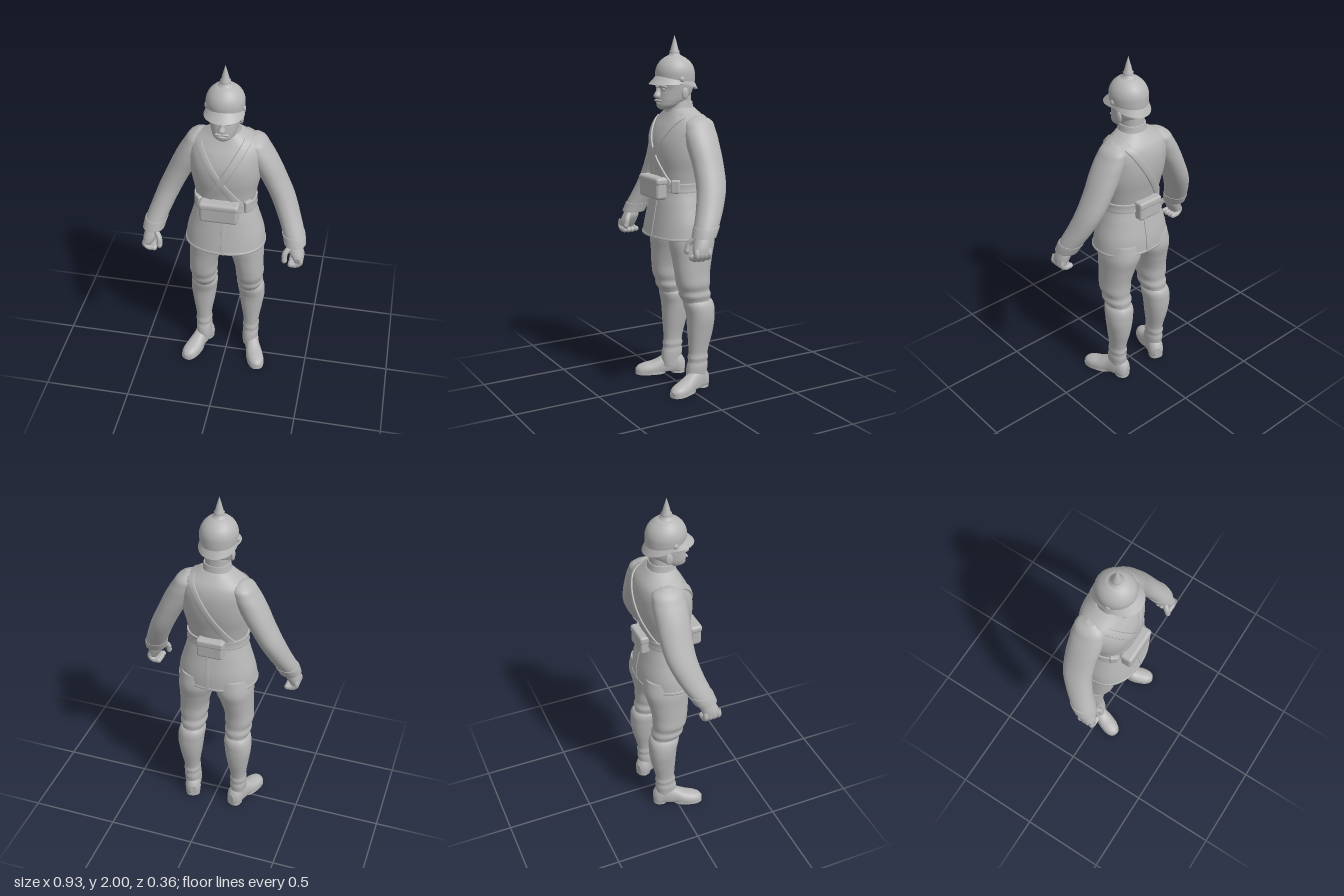
import * as THREE from 'three';
import { RoundedBoxGeometry } from 'three/addons/geometries/RoundedBoxGeometry.js';

const grey = new THREE.MeshStandardMaterial({ color: 0xb6b6b6, side: THREE.DoubleSide });
grey.name = 'plain grey';

// smooth section lookup; each row is [y, xMin, xMax, zFront, zBack]
function sections(rows) {
  const sorted = [...rows].sort((a, b) => a[0] - b[0]);
  const ys = sorted.map(r => r[0]);
  const spline = new THREE.CubicInterpolant(ys, sorted.flatMap(r => r.slice(1)), 4);
  return { y0: ys[0], y1: ys[ys.length - 1], at: y => Array.from(spline.evaluate(y)) };
}

// grid of points joined into a surface, optionally closed around
function grid(rows, closed) {
  const n = rows[0].length, index = [];
  for (let i = 0; i < rows.length - 1; i++) {
    for (let j = 0; j < (closed ? n : n - 1); j++) {
      const k = (j + 1) % n, a = i * n + j, b = i * n + k;
      index.push(a, a + n, b, b, a + n, b + n);
    }
  }
  const g = new THREE.BufferGeometry();
  g.setAttribute('position', new THREE.Float32BufferAttribute(rows.flat(2), 3));
  g.setIndex(index);
  g.computeVertexNormals();
  return g;
}

// closed body through horizontal superellipse rings, with flat ends
function loft(rows, { n = 2.2, steps = 40, around = 40, grow = 0, from, to } = {}) {
  const s = rows.at ? (Array.isArray(rows) ? sections(rows) : rows) : sections(rows);
  const lo = from ?? s.y0, hi = to ?? s.y1, rings = [];
  const ring = (y, k) => {
    const [x0, x1, zf, zb] = s.at(y);
    return Array.from({ length: around }, (_, j) => {
      const t = j / around * Math.PI * 2, c = Math.cos(t), d = Math.sin(t);
      const e = v => Math.sign(v) * Math.abs(v) ** (2 / n) * k;
      return [(x0 + x1) / 2 + ((x1 - x0) / 2 + grow) * e(c), y, (zf + zb) / 2 + ((zf - zb) / 2 + grow) * e(d)];
    });
  };
  rings.push(ring(lo, 0), ring(lo, 0.98));
  for (let i = 0; i <= steps; i++) rings.push(ring(lo + (hi - lo) * i / steps, 1));
  rings.push(ring(hi, 0.98), ring(hi, 0));
  return grid(rings, true);
}

function mirrored(geo) {
  const g = geo.clone().scale(-1, 1, 1);
  if (g.index) g.index.array.reverse();
  else for (const a of Object.values(g.attributes)) {
    const s = a.itemSize;
    for (let i = 0; i < a.count; i += 3) for (let k = 0; k < s; k++) {
      const p = i * s + k, q = (i + 2) * s + k, v = a.array[p];
      a.array[p] = a.array[q]; a.array[q] = v;
    }
  }
  g.computeVertexNormals();
  return g;
}

const tube = (pts, r) => new THREE.TubeGeometry(
  new THREE.CatmullRomCurve3(pts.map(p => new THREE.Vector3(...p))), 14, r, 10);
const ball = (x, y, z, a, b, c) => new THREE.SphereGeometry(1, 20, 14).scale(a, b, c).translate(x, y, z);
const box = (w, h, d, r) => new RoundedBoxGeometry(w, h, d, 4, r);

const coatSections = sections([
  [0.89, -0.228, 0.228, 0.172, -0.175], [0.97, -0.218, 0.218, 0.158, -0.17], [1.08, -0.187, 0.187, 0.138, -0.148],
  [1.17, -0.165, 0.165, 0.12, -0.13], [1.25, -0.175, 0.175, 0.125, -0.143], [1.35, -0.195, 0.195, 0.137, -0.165],
  [1.43, -0.2, 0.2, 0.132, -0.173], [1.5, -0.2, 0.2, 0.105, -0.167], [1.545, -0.18, 0.18, 0.078, -0.15],
  [1.58, -0.12, 0.12, 0.06, -0.122], [1.605, -0.082, 0.082, 0.05, -0.1]]);

// flat band lying on the coat between two (x, y) points; side is 1 front, -1 back
function band(a, b, width, side, lift = 0.009) {
  const dx = b[0] - a[0], dy = b[1] - a[1], len = Math.hypot(dx, dy), n = 2.2;
  const rows = [];
  for (let i = 0; i <= 30; i++) {
    rows.push([[-1, -0.015], [-1, lift * 0.6], [-0.85, lift], [0, lift], [0.85, lift], [1, lift * 0.6], [1, -0.015]].map(([u, h]) => {
      const x = a[0] + dx * i / 30 - dy / len * u * width / 2;
      const y = a[1] + dy * i / 30 + dx / len * u * width / 2;
      const [, rx, zf, zb] = coatSections.at(y);
      const bulge = Math.max(0, 1 - Math.abs(x / rx) ** n) ** (1 / n);
      return [x, y, (zf + zb) / 2 + side * ((zf - zb) / 2 * bulge + h)];
    }));
  }
  const g = grid(rows, false);
  if ((dy > 0) === (side > 0)) { g.index.array.reverse(); g.computeVertexNormals(); }
  return g;
}

export function createModel() {
  const model = new THREE.Group();
  model.name = 'soldier';
  const add = (name, geo) => {
    const m = new THREE.Mesh(geo, grey);
    m.name = name;
    model.add(m);
  };
  const pair = (name, geo) => {
    add('left' + name, geo);
    add('right' + name, mirrored(geo));
  };

  // coat, collar, belt and straps
  add('coat', loft(coatSections, { steps: 60, around: 56 }));
  add('hem', loft(coatSections, { from: 0.89, to: 0.902, grow: 0.003, steps: 3, around: 56 }));
  add('collar', loft([[1.58, -0.085, 0.085, 0.06, -0.1], [1.61, -0.077, 0.077, 0.055, -0.095], [1.64, -0.072, 0.072, 0.05, -0.09]]));
  add('belt', loft(coatSections, { from: 1.15, to: 1.2, grow: 0.01, steps: 6, around: 56 }));
  add('frontStrapA', band([0.125, 1.57], [-0.1, 1.19], 0.042, 1));
  add('frontStrapB', band([-0.14, 1.545], [0.1, 1.19], 0.042, 1));
  add('backStrap', band([0.125, 1.57], [-0.11, 1.19], 0.042, -1));
  add('frontFlap', band([0.012, 0.892], [0.012, 1.14], 0.024, 1, 0.004));
  add('backPleat', band([0.012, 0.892], [0.012, 1.1], 0.024, -1, 0.004));

  // pouches
  add('frontPouch', box(0.215, 0.115, 0.07, 0.02).translate(-0.01, 1.165, 0.142));
  add('frontPouchLid', box(0.222, 0.045, 0.076, 0.018).translate(-0.01, 1.21, 0.141));
  add('backPouch', box(0.15, 0.105, 0.06, 0.015).translate(-0.005, 1.158, -0.145));
  add('backPouchLid', box(0.156, 0.045, 0.066, 0.014).translate(-0.005, 1.195, -0.145));
  pair('BeltLoop', box(0.05, 0.075, 0.03, 0.01).rotateY(0.9).translate(0.138, 1.185, 0.082));

  // arms and hands
  const arm = sections([[1.567, 0.13, 0.165, -0.03, -0.075], [1.55, 0.1, 0.2, 0.015, -0.12], [1.5, 0.1, 0.237, 0.04, -0.14],
    [1.42, 0.13, 0.284, 0.045, -0.142], [1.31, 0.192, 0.334, 0.04, -0.137], [1.2, 0.248, 0.383, 0.047, -0.12],
    [1.1, 0.294, 0.42, 0.073, -0.08], [1.0, 0.335, 0.455, 0.11, -0.025], [0.955, 0.348, 0.463, 0.125, 0]]);
  pair('Sleeve', loft(arm, { n: 2.1 }));
  pair('Cuff', loft(arm, { n: 2.1, from: 0.955, to: 1.01, grow: 0.004, steps: 6 }));
  pair('Palm', loft([[0.97, 0.372, 0.44, 0.105, 0.03], [0.93, 0.37, 0.455, 0.125, 0.032], [0.89, 0.39, 0.462, 0.138, 0.04],
    [0.86, 0.41, 0.458, 0.135, 0.05], [0.845, 0.42, 0.445, 0.12, 0.065]], { steps: 16, around: 24 }));
  for (let i = 0; i < 4; i++) {
    const z = 0.054 + i * 0.025, y = 0.003 * Math.abs(i - 1.5);
    pair('Finger' + (i + 1), tube([[0.438, 0.9, z], [0.447, 0.868, z], [0.425, 0.843 + y, z], [0.393, 0.842 + y, z]], 0.016));
    pair('Fingertip' + (i + 1), ball(0.393, 0.842 + y, z, 0.016, 0.016, 0.016));
  }
  pair('Thumb', tube([[0.385, 0.95, 0.1], [0.36, 0.918, 0.127], [0.358, 0.88, 0.138]], 0.016));
  pair('ThumbTip', ball(0.358, 0.88, 0.138, 0.016, 0.02, 0.016));

  // trousers tucked into tall boots
  pair('Trouser', loft([[0.95, 0, 0.2, 0.09, -0.16], [0.86, 0.002, 0.216, 0.096, -0.17], [0.78, 0.028, 0.216, 0.086, -0.15],
    [0.68, 0.055, 0.217, 0.076, -0.13], [0.62, 0.058, 0.219, 0.066, -0.128], [0.585, 0.066, 0.208, 0.052, -0.127],
    [0.56, 0.06, 0.214, 0.05, -0.136], [0.53, 0.07, 0.203, 0.032, -0.134], [0.5, 0.075, 0.205, 0.015, -0.14]]));
  pair('BootShaft', loft([[0.525, 0.075, 0.205, 0.022, -0.14], [0.515, 0.068, 0.212, 0.024, -0.148], [0.44, 0.07, 0.223, 0.007, -0.156],
    [0.34, 0.083, 0.211, 0.001, -0.146], [0.24, 0.1, 0.195, -0.004, -0.122], [0.205, 0.102, 0.192, -0.004, -0.116],
    [0.185, 0.098, 0.196, 0.002, -0.121], [0.165, 0.103, 0.19, -0.002, -0.115], [0.145, 0.099, 0.194, 0.005, -0.119],
    [0.1, 0.099, 0.192, 0.012, -0.114], [0.05, 0.1, 0.19, 0.01, -0.112]]));

  // feet turned outwards, with sole and heel
  const place = g => g.rotateY(0.36).translate(0.147, 0, -0.06);
  const foot = loft([[-0.072, -0.02, 0.02, -0.01, -0.075], [-0.058, -0.038, 0.038, 0.02, -0.1], [0, -0.046, 0.046, 0.02, -0.135],
    [0.06, -0.043, 0.043, 0.02, -0.105], [0.12, -0.05, 0.05, 0.02, -0.075], [0.18, -0.046, 0.046, 0.02, -0.06],
    [0.212, -0.03, 0.03, 0.012, -0.046], [0.224, -0.01, 0.01, -0.015, -0.032]]).rotateX(Math.PI / 2);
  const p = foot.attributes.position;
  for (let i = 0; i < p.count; i++) p.setY(i, Math.max(0.014, p.getY(i)));
  foot.computeVertexNormals();
  pair('Foot', place(foot));
  const slab = (w, zf, zb) => place(loft([[0, -w, w, zf, zb], [0.018, -w, w, zf, zb]], { n: 2.5, steps: 1 }));
  pair('Sole', slab(0.05, 0.226, 0.045));
  pair('Heel', slab(0.042, 0.01, -0.072));

  // neck, head and face
  add('neck', loft([[1.58, -0.066, 0.066, 0.045, -0.085], [1.7, -0.064, 0.064, 0.045, -0.085]], { steps: 2 }));
  add('head', loft([[1.598, -0.025, 0.025, 0.1, 0.04], [1.612, -0.05, 0.05, 0.113, 0.005], [1.64, -0.069, 0.069, 0.114, -0.045],
    [1.68, -0.08, 0.08, 0.11, -0.083], [1.71, -0.085, 0.085, 0.106, -0.093], [1.74, -0.088, 0.088, 0.113, -0.096],
    [1.78, -0.09, 0.09, 0.11, -0.1]]));
  add('nose', loft([[1.656, -0.014, 0.014, 0.12, 0.09], [1.666, -0.021, 0.021, 0.137, 0.09], [1.7, -0.011, 0.011, 0.126, 0.09],
    [1.73, -0.01, 0.01, 0.117, 0.09]], { steps: 14, around: 16 }));
  add('lowerLip', ball(0, 1.631, 0.112, 0.022, 0.006, 0.008));
  pair('Moustache', ball(0.017, 1.646, 0.113, 0.023, 0.007, 0.009));
  pair('Eye', ball(0.034, 1.708, 0.097, 0.014, 0.008, 0.008));
  pair('Brow', tube([[0.008, 1.722, 0.113], [0.035, 1.728, 0.107], [0.06, 1.72, 0.088]], 0.007));
  pair('Ear', ball(0.084, 1.685, -0.01, 0.01, 0.033, 0.021));

  // helmet dome, flared brim and spike
  add('helmetDome', loft([[1.735, -0.098, 0.098, 0.112, -0.104], [1.77, -0.103, 0.103, 0.117, -0.105], [1.81, -0.102, 0.102, 0.116, -0.102],
    [1.845, -0.088, 0.088, 0.102, -0.086], [1.87, -0.066, 0.066, 0.079, -0.06], [1.885, -0.042, 0.042, 0.054, -0.034],
    [1.893, -0.01, 0.01, 0.02, 0]], { n: 2 }));
  const brim = [];
  for (const u of [1, 0.5, 0]) {
    brim.push(Array.from({ length: 64 }, (_, j) => {
      const t = j / 64 * Math.PI * 2, s = Math.sin(t);
      const front = Math.max(0, s) ** 1.3, back = Math.max(0, -s) ** 1.3;
      const out = u * (0.003 + 0.042 * front + 0.017 * back);
      const y = 1.755 + 0.028 * front - 0.01 * back - u * (0.018 + 0.03 * front + 0.026 * back);
      return [Math.cos(t) * (0.101 + out), y, 0.006 + s * (0.109 + out)];
    }));
  }
  add('helmetBrim', grid(brim, true));
  pair('ChinstrapBoss', ball(0.101, 1.765, 0.02, 0.009, 0.015, 0.015));
  add('spike', new THREE.LatheGeometry([[0.046, 1.878], [0.04, 1.888], [0.03, 1.894], [0.027, 1.905], [0.029, 1.912],
    [0.023, 1.918], [0.012, 1.96], [0, 2]].map(q => new THREE.Vector2(...q)), 28).translate(0, 0, 0.01));

  return model;
}
